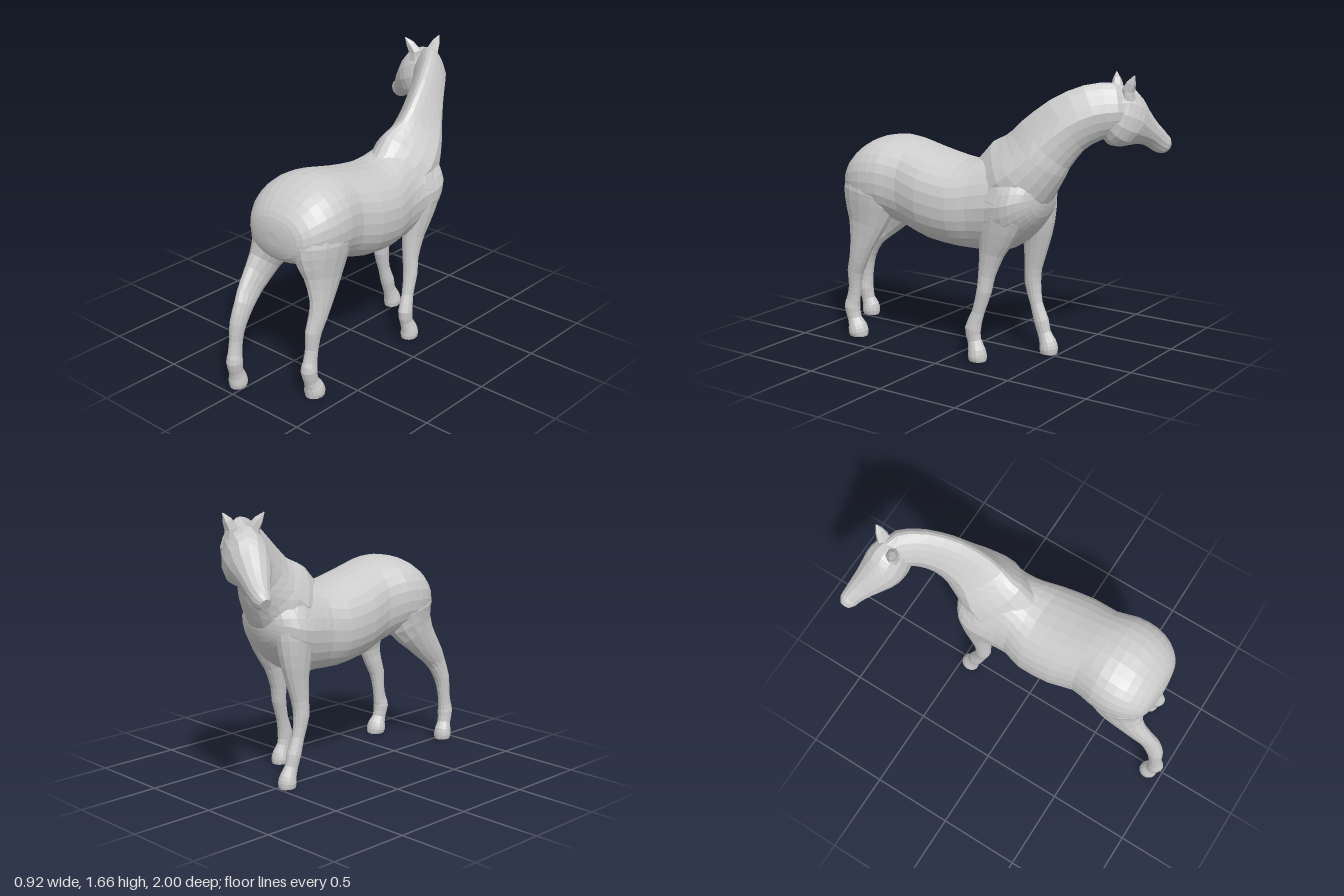
import * as THREE from 'three';

const material = new THREE.MeshStandardMaterial({ color: 0xcccccc, flatShading: true });

// Skin a closed tube through oval sections [x, y, z, halfWidth, halfDepth, pinch].
// pinch narrows the upper half; ref points along the halfDepth direction;
// power < 1 makes the oval boxier; axis, if given, keeps all sections parallel.
function loft(name, sections, ref, sides, perSpan, power = 1, axis = null) {
  const curve = f => new THREE.CatmullRomCurve3(sections.map(f), false, 'catmullrom', 0.5);
  const path = curve(s => new THREE.Vector3(s[0], s[1], s[2]));
  const size = curve(s => new THREE.Vector3(s[3], s[4], s[5] ?? 0));
  const steps = (sections.length - 1) * perSpan;
  const pos = [], index = [];
  const bend = v => Math.sign(v) * Math.pow(Math.abs(v), power);
  for (let i = 0; i <= steps; i++) {
    const c = path.getPoint(i / steps), r = size.getPoint(i / steps), t = axis ?? path.getTangent(i / steps);
    const side = new THREE.Vector3().crossVectors(ref, t).normalize();
    const up = new THREE.Vector3().crossVectors(t, side);
    for (let j = 0; j < sides; j++) {
      const a = (j / sides) * Math.PI * 2;
      const w = r.x * bend(Math.cos(a)) * (1 - r.z * Math.max(0, Math.sin(a)));
      const p = c.clone().addScaledVector(side, w).addScaledVector(up, r.y * bend(Math.sin(a)));
      pos.push(p.x, Math.max(p.y, 0), p.z);
      if (i < steps) {
        const k = i * sides + j, n = i * sides + (j + 1) % sides;
        index.push(k, n, k + sides, n, n + sides, k + sides);
      }
    }
  }
  // End caps
  const first = pos.length / 3, last = steps * sides;
  for (const s of [sections[0], sections[sections.length - 1]]) pos.push(s[0], s[1], s[2]);
  for (let j = 0; j < sides; j++) {
    const n = (j + 1) % sides;
    index.push(first, n, j, first + 1, last + j, last + n);
  }
  const geometry = new THREE.BufferGeometry();
  geometry.setAttribute('position', new THREE.Float32BufferAttribute(pos, 3));
  geometry.setIndex(index);
  geometry.computeVertexNormals();
  const mesh = new THREE.Mesh(geometry, material);
  mesh.name = name;
  return mesh;
}

export function createModel() {
  const horse = new THREE.Group();
  horse.name = 'horse';
  const Y = new THREE.Vector3(0, 1, 0), Z = new THREE.Vector3(0, 0, 1);

  // Barrel, from rump to chest
  horse.add(loft('torso', [
    [0.155, 0.96, 0.81, 0.05, 0.04], [0.155, 0.96, 0.8, 0.13, 0.09], [0.155, 0.965, 0.775, 0.2, 0.14],
    [0.155, 0.985, 0.7, 0.262, 0.197], [0.155, 0.995, 0.6, 0.292, 0.24], [0.155, 0.998, 0.48, 0.288, 0.252],
    [0.155, 0.968, 0.35, 0.258, 0.264], [0.15, 0.925, 0.2, 0.28, 0.266], [0.14, 0.896, 0, 0.27, 0.26],
    [0.14, 0.91, -0.12, 0.238, 0.272, 0.1], [0.13, 0.93, -0.25, 0.24, 0.288, 0.3], [0.13, 0.95, -0.36, 0.25, 0.25, 0.3],
    [0.13, 0.975, -0.44, 0.22, 0.19, 0.25], [0.13, 0.985, -0.495, 0.14, 0.12, 0.1], [0.13, 0.99, -0.52, 0.05, 0.05],
  ], Y, 28, 2, 0.9, new THREE.Vector3(0, 0, -1)));

  // Neck, turning toward the right
  horse.add(loft('neck', [
    [0.14, 0.97, -0.15, 0.17, 0.2, 0.3], [0.135, 1.075, -0.31, 0.21, 0.245, 0.45], [0.13, 1.17, -0.41, 0.178, 0.215, 0.5],
    [0.113, 1.275, -0.49, 0.138, 0.188, 0.5], [0.07, 1.39, -0.6, 0.11, 0.168, 0.4], [0.003, 1.46, -0.72, 0.1, 0.16, 0.35],
    [-0.07, 1.475, -0.81, 0.098, 0.15, 0.3], [-0.13, 1.46, -0.84, 0.075, 0.12, 0.3],
  ], Y, 20, 2));

  // Head, from poll to muzzle
  horse.add(loft('head', [
    [-0.02, 1.48, -0.8, 0.06, 0.11], [-0.08, 1.455, -0.82, 0.097, 0.16], [-0.14, 1.428, -0.835, 0.118, 0.172],
    [-0.2, 1.398, -0.848, 0.12, 0.147], [-0.265, 1.362, -0.876, 0.1, 0.107], [-0.33, 1.318, -0.91, 0.076, 0.074],
    [-0.39, 1.268, -0.94, 0.056, 0.064], [-0.425, 1.248, -0.95, 0.05, 0.055], [-0.452, 1.235, -0.955, 0.03, 0.034],
  ], Y, 14, 2));

  // Ears, leaf shaped and splayed outward
  const ears = [['rightEar', -0.165, -0.785, -0.215, -0.75], ['leftEar', -0.105, -0.885, -0.09, -0.93]];
  for (const [name, x, z, tipX, tipZ] of ears) {
    horse.add(loft(name, [
      [x, 1.53, z, 0.04, 0.04], [x, 1.585, z, 0.042, 0.036],
      [(x + tipX) / 2, 1.63, (z + tipZ) / 2, 0.028, 0.025], [tipX, 1.67, tipZ, 0.003, 0.003],
    ], Z, 6, 1));
  }

  // Legs, from inside the hip or shoulder down to the hoof
  const legs = {
    leftHindLeg: [
      [0.25, 1.1, 0.57, 0.11, 0.13], [0.3, 0.97, 0.585, 0.142, 0.195], [0.322, 0.85, 0.6, 0.12, 0.185],
      [0.345, 0.73, 0.615, 0.075, 0.135], [0.362, 0.6, 0.645, 0.05, 0.085], [0.36, 0.5, 0.675, 0.046, 0.063],
      [0.355, 0.42, 0.705, 0.042, 0.053], [0.35, 0.32, 0.715, 0.036, 0.04], [0.35, 0.24, 0.73, 0.037, 0.045],
      [0.35, 0.19, 0.74, 0.046, 0.05], [0.35, 0.12, 0.725, 0.04, 0.043], [0.35, 0.075, 0.705, 0.055, 0.056],
      [0.35, 0.04, 0.695, 0.06, 0.061], [0.35, 0.015, 0.695, 0.052, 0.058],
    ],
    rightHindLeg: [
      [0.06, 1.1, 0.57, 0.11, 0.13], [0.01, 0.97, 0.585, 0.142, 0.195], [-0.01, 0.85, 0.615, 0.115, 0.18],
      [-0.032, 0.73, 0.69, 0.07, 0.12], [-0.03, 0.61, 0.8, 0.05, 0.085], [-0.02, 0.53, 0.865, 0.046, 0.068],
      [-0.025, 0.42, 0.915, 0.044, 0.053], [-0.03, 0.32, 0.93, 0.036, 0.042], [-0.03, 0.24, 0.942, 0.037, 0.045],
      [-0.03, 0.19, 0.948, 0.045, 0.05], [-0.035, 0.12, 0.935, 0.04, 0.043], [-0.04, 0.075, 0.92, 0.05, 0.054],
      [-0.04, 0.04, 0.915, 0.053, 0.056], [-0.04, 0.015, 0.915, 0.046, 0.052],
    ],
    leftForeLeg: [
      [0.25, 1.1, -0.33, 0.07, 0.1], [0.268, 0.95, -0.32, 0.105, 0.15], [0.28, 0.8, -0.285, 0.085, 0.125],
      [0.283, 0.66, -0.245, 0.06, 0.08], [0.29, 0.52, -0.215, 0.046, 0.052], [0.3, 0.43, -0.205, 0.044, 0.045],
      [0.31, 0.3, -0.17, 0.034, 0.038], [0.32, 0.2, -0.14, 0.04, 0.05], [0.32, 0.13, -0.15, 0.035, 0.043],
      [0.325, 0.075, -0.17, 0.047, 0.052], [0.325, 0.04, -0.175, 0.053, 0.056], [0.325, 0.015, -0.175, 0.047, 0.053],
    ],
    rightForeLeg: [
      [0.01, 1.1, -0.33, 0.07, 0.1], [-0.008, 0.95, -0.34, 0.105, 0.145], [-0.018, 0.8, -0.355, 0.085, 0.115],
      [-0.022, 0.66, -0.35, 0.062, 0.08], [-0.025, 0.52, -0.33, 0.048, 0.056], [-0.03, 0.42, -0.325, 0.045, 0.05],
      [-0.03, 0.3, -0.35, 0.034, 0.039], [-0.03, 0.2, -0.385, 0.04, 0.046], [-0.03, 0.13, -0.405, 0.035, 0.042],
      [-0.03, 0.075, -0.43, 0.046, 0.052], [-0.03, 0.04, -0.438, 0.052, 0.056], [-0.03, 0.01, -0.438, 0.046, 0.053],
    ],
  };
  for (const [name, sections] of Object.entries(legs)) horse.add(loft(name, sections, Z, 14, 2));

  return horse;
}
